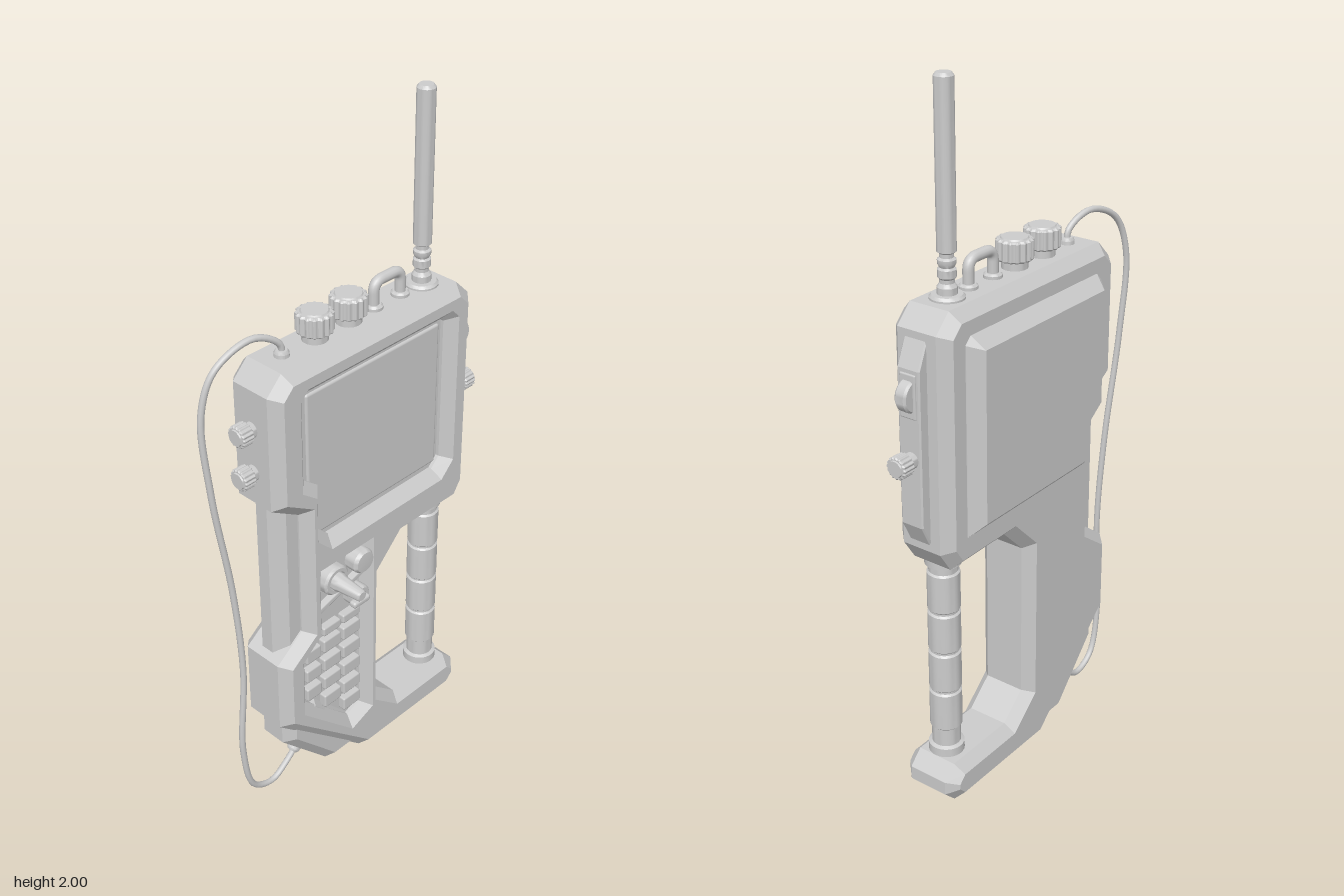
import * as THREE from 'three';
import { RoundedBoxGeometry } from 'three/addons/geometries/RoundedBoxGeometry.js';
import { toCreasedNormals } from 'three/addons/utils/BufferGeometryUtils.js';

const MID = -0.03; // depth of the centre line shared by handle, antenna and knobs

export function createModel() {
  const group = new THREE.Group();
  const mat = new THREE.MeshStandardMaterial({ color: 0xcccccc });

  const add = (name, geo, x = 0, y = 0, z = 0, parent = group) => {
    const mesh = new THREE.Mesh(geo, mat);
    mesh.name = name;
    mesh.position.set(x, y, z);
    parent.add(mesh);
    return mesh;
  };
  const poly = (pts) => pts.map(([x, y]) => new THREE.Vector2(x, y));

  // Slab between two depths, chamfered only on the chosen sides
  const slab = (pts, z0, z1, b, front, back, holes = []) => {
    const shape = new THREE.Shape(poly(pts));
    holes.forEach((h) => shape.holes.push(new THREE.Path(poly(h))));
    const depth = z1 - z0 - (front ? b : 0) - (back ? b : 0);
    const geo = new THREE.ExtrudeGeometry(shape, {
      depth, bevelThickness: b, bevelSize: b, bevelOffset: -b, bevelSegments: 1,
    });
    const p = geo.attributes.position;
    for (let i = 0; i < p.count; i++) {
      let z = p.getZ(i);
      if (!back) z = Math.max(z, 0);
      if (!front) z = Math.min(z, depth);
      p.setZ(i, z);
    }
    geo.translate(0, 0, z0 + (back ? b : 0));
    geo.computeVertexNormals();
    return geo;
  };

  // Turned part along +y from [radius, height] pairs
  const turned = (pts, sides = 32) =>
    toCreasedNormals(new THREE.LatheGeometry(poly(pts), sides).toNonIndexed(), 0.6);

  // Fluted knob on a short shaft, pointing along +y
  const knob = (name, r, shaft, height, x, y, z) => {
    const g = new THREE.Group();
    g.name = name;
    g.position.set(x, y, z);
    const ring = [];
    for (let i = 0; i < 96; i++) {
      const a = (i / 96) * Math.PI * 2;
      const k = r * (0.96 + 0.05 * Math.cos(a * 16));
      ring.push([k * Math.cos(a), k * Math.sin(a)]);
    }
    const cap = slab(ring, shaft, shaft + height, r * 0.1, true, true).rotateX(-Math.PI / 2);
    add(name + 'Grip', cap, 0, 0, 0, g);
    add(name + 'Shaft', turned([[0, -0.01], [r * 0.7, -0.01], [r * 0.7, shaft + 0.005], [0, shaft + 0.005]]), 0, 0, 0, g);
    add(name + 'Face', turned([[r * 0.75, 0], [r * 0.7, 0.004], [0, 0.004]]), 0, shaft + height, 0, g);
    group.add(g);
    return g;
  };

  // Casing: solid back half, front half with screen and keypad recesses
  const outline = [
    [-0.35, 1.4], [-0.3, 1.45], [0.34, 1.45], [0.39, 1.4], [0.39, 0.8], [0.35, 0.74],
    [0.12, 0.74], [0.04, 0.66], [0.04, 0.19], [0.12, 0.12], [0.35, 0.12], [0.39, 0.08],
    [0.39, 0.04], [0.35, 0], [-0.03, 0], [-0.35, 0.3], [-0.35, 0.53], [-0.255, 0.6],
    [-0.255, 1.0], [-0.35, 1.06],
  ].reverse();
  const screenHole = [
    [-0.235, 1.35], [-0.225, 1.36], [0.285, 1.36], [0.295, 1.35], [0.295, 0.91], [0.265, 0.88],
    [-0.15, 0.88], [-0.185, 0.915], [-0.185, 1.06], [-0.235, 1.1],
  ];
  const keyHole = [
    [-0.18, 0.77], [-0.03, 0.77], [-0.03, 0.18], [-0.08, 0.16],
    [-0.25, 0.33], [-0.25, 0.5], [-0.18, 0.56],
  ];
  add('casingBack', slab(outline, -0.12, 0.02, 0.03, false, true));
  add('casingFront', slab(outline, 0.02, 0.06, 0.03, true, false, [screenHole, keyHole]));
  add('screen', new RoundedBoxGeometry(0.5, 0.45, 0.02, 2, 0.008), 0.035, 1.12, 0.016);

  // Raised back cover with the same corner notch
  add('backCover', slab([
    [-0.27, 1.36], [-0.25, 1.38], [0.295, 1.38], [0.315, 1.36], [0.315, 0.83],
    [-0.2, 0.83], [-0.2, 0.95], [-0.27, 1.0],
  ].reverse(), -0.157, -0.12, 0.035, false, true));

  // Strip inside the waist on the side, and the foot under the slope
  add('sideStrip', slab([[-0.33, 0.5], [-0.2, 0.5], [-0.2, 1.08], [-0.33, 1.08]], -0.085, 0.025, 0.035, true, true));
  add('cableFoot', slab([
    [-0.32, 0.32], [-0.32, 0.2], [-0.15, 0.015], [0, 0.015], [0, 0.1], [-0.2, 0.32],
  ], -0.1, 0.035, 0.03, true, true));

  // Side rail with scroll wheel
  const rail = slab([[0.37, 0.82], [0.39, 0.82], [0.42, 0.88], [0.42, 1.31], [0.39, 1.38], [0.37, 1.38]],
    -0.06, 0.01, 0.004, true, true);
  add('sideRail', rail);
  const wheel = turned([[0, -0.018], [0.04, -0.018], [0.045, -0.012], [0.045, 0.012], [0.04, 0.018], [0, 0.018]]);
  add('scrollWheel', wheel.rotateX(Math.PI / 2), 0.41, 1.24, -0.025);
  add('wheelFrame', new RoundedBoxGeometry(0.015, 0.12, 0.05, 1, 0.004), 0.417, 1.24, -0.025);

  // Knobs on top and on both sides
  [-0.125, -0.005].forEach((x) => knob('topKnob', 0.05, 0.022, 0.058, x, 1.45, MID));
  [1.285, 1.155].forEach((y) => {
    knob('leftEdgeKnob', 0.031, 0.015, 0.037, -0.35, y, MID).rotation.z = Math.PI / 2;
  });
  knob('rightEdgeKnob', 0.031, 0.022, 0.04, 0.42, 1.067, MID).rotation.z = -Math.PI / 2;

  // Carry loop
  const loop = new THREE.CurvePath();
  const v = (x, y) => new THREE.Vector3(x, y, MID);
  loop.add(new THREE.LineCurve3(v(0.087, 1.44), v(0.087, 1.495)));
  loop.add(new THREE.QuadraticBezierCurve3(v(0.087, 1.495), v(0.087, 1.525), v(0.117, 1.525)));
  loop.add(new THREE.LineCurve3(v(0.117, 1.525), v(0.157, 1.525)));
  loop.add(new THREE.QuadraticBezierCurve3(v(0.157, 1.525), v(0.187, 1.525), v(0.187, 1.495)));
  loop.add(new THREE.LineCurve3(v(0.187, 1.495), v(0.187, 1.44)));
  add('carryLoop', new THREE.TubeGeometry(loop, 48, 0.015, 12));
  [0.087, 0.187].forEach((x) =>
    add('loopBoss', turned([[0.025, -0.01], [0.025, 0.008], [0.02, 0.013], [0, 0.013]], 20), x, 1.45, MID));

  // Antenna
  add('antenna', turned([
    [0.046, 1.44], [0.046, 1.455], [0.04, 1.462], [0.026, 1.462], [0.026, 1.48], [0.019, 1.49],
    [0.019, 1.5], [0.024, 1.505], [0.024, 1.525], [0.019, 1.53], [0.024, 1.54], [0.024, 1.55],
    [0.018, 1.555], [0.018, 1.565], [0.025, 1.57], [0.025, 1.992], [0.019, 2], [0, 2],
  ], 24), 0.27, 0, MID);

  // Hand grip bar with collars and grooves
  const bar = [[0.05, 0.11], [0.05, 0.145], [0.04, 0.15], [0.04, 0.2]];
  const joints = [0.2, 0.325, 0.45, 0.575, 0.7];
  for (let i = 0; i < 4; i++) {
    bar.push([0.04, joints[i] + 0.003], [0.045, joints[i] + 0.008], [0.045, joints[i + 1] - 0.008], [0.04, joints[i + 1] - 0.003]);
  }
  bar.push([0.04, 0.715], [0.05, 0.72], [0.05, 0.75]);
  add('gripBar', turned(bar, 28), 0.3, 0, -0.025);

  // Controls above the keypad
  const facing = (name, pts, x, y, z) => add(name, turned(pts, 28).rotateX(Math.PI / 2), x, y, z);
  facing('joystickCollar', [[0.046, 0], [0.046, 0.035], [0.04, 0.042], [0.03, 0.042], [0.028, 0.03], [0, 0.03]], -0.145, 0.73, 0.02);
  facing('joystick', [[0.024, 0], [0.027, 0.05], [0.024, 0.06], [0.017, 0.13], [0.013, 0.135], [0, 0.135]], -0.145, 0.73, 0.02);
  facing('roundButton', [[0.038, 0], [0.038, 0.034], [0.031, 0.044], [0, 0.046]], -0.038, 0.735, 0.02);
  facing('switchBase', [[0.034, 0], [0.034, 0.035], [0.029, 0.042], [0, 0.042]], -0.05, 0.617, 0.02);
  add('switchLever', new RoundedBoxGeometry(0.065, 0.02, 0.025, 2, 0.008), -0.065, 0.617, 0.068);

  // Slanted divider and keypad
  add('divider', new RoundedBoxGeometry(0.2, 0.02, 0.025, 1, 0.006), -0.105, 0.657, 0.027).rotation.z = 0.27;
  const columns = [[-0.22, 0.058], [-0.147, 0.068], [-0.07, 0.068]];
  [0.495, 0.425, 0.355, 0.285, 0.22].forEach((y, row) => {
    columns.forEach(([x, w], col) => {
      if (row - col > 2) return; // the panel slopes away here
      add('key', new RoundedBoxGeometry(w, 0.045, 0.03, 1, 0.006), x, y, 0.027);
    });
  });
  add('topKey', new RoundedBoxGeometry(0.068, 0.03, 0.03, 1, 0.006), -0.147, 0.55, 0.027);
  add('topKey', new RoundedBoxGeometry(0.068, 0.03, 0.03, 1, 0.006), -0.07, 0.55, 0.027);

  // Cable from the top edge round to the foot
  const path = [
    [-0.24, 1.44, -0.03], [-0.245, 1.485, -0.03], [-0.32, 1.525, -0.045], [-0.43, 1.48, -0.06],
    [-0.473, 1.37, -0.07], [-0.468, 1.13, -0.06], [-0.43, 0.8, -0.045], [-0.418, 0.52, -0.035],
    [-0.435, 0.22, -0.035], [-0.4, 0.06, -0.035], [-0.33, 0.025, -0.035], [-0.27, 0.06, -0.035], [-0.21, 0.12, -0.035],
  ].map((p) => new THREE.Vector3(...p));
  add('cable', new THREE.TubeGeometry(new THREE.CatmullRomCurve3(path), 120, 0.009, 10));
  const socket = [[0.02, -0.01], [0.02, 0.01], [0.015, 0.018], [0, 0.018]];
  add('cableSocket', turned(socket, 20), -0.24, 1.45, MID);
  add('cableSocket', turned(socket, 20), -0.235, 0.1, -0.035).rotation.z = Math.PI * 0.75;

  return group;
}
